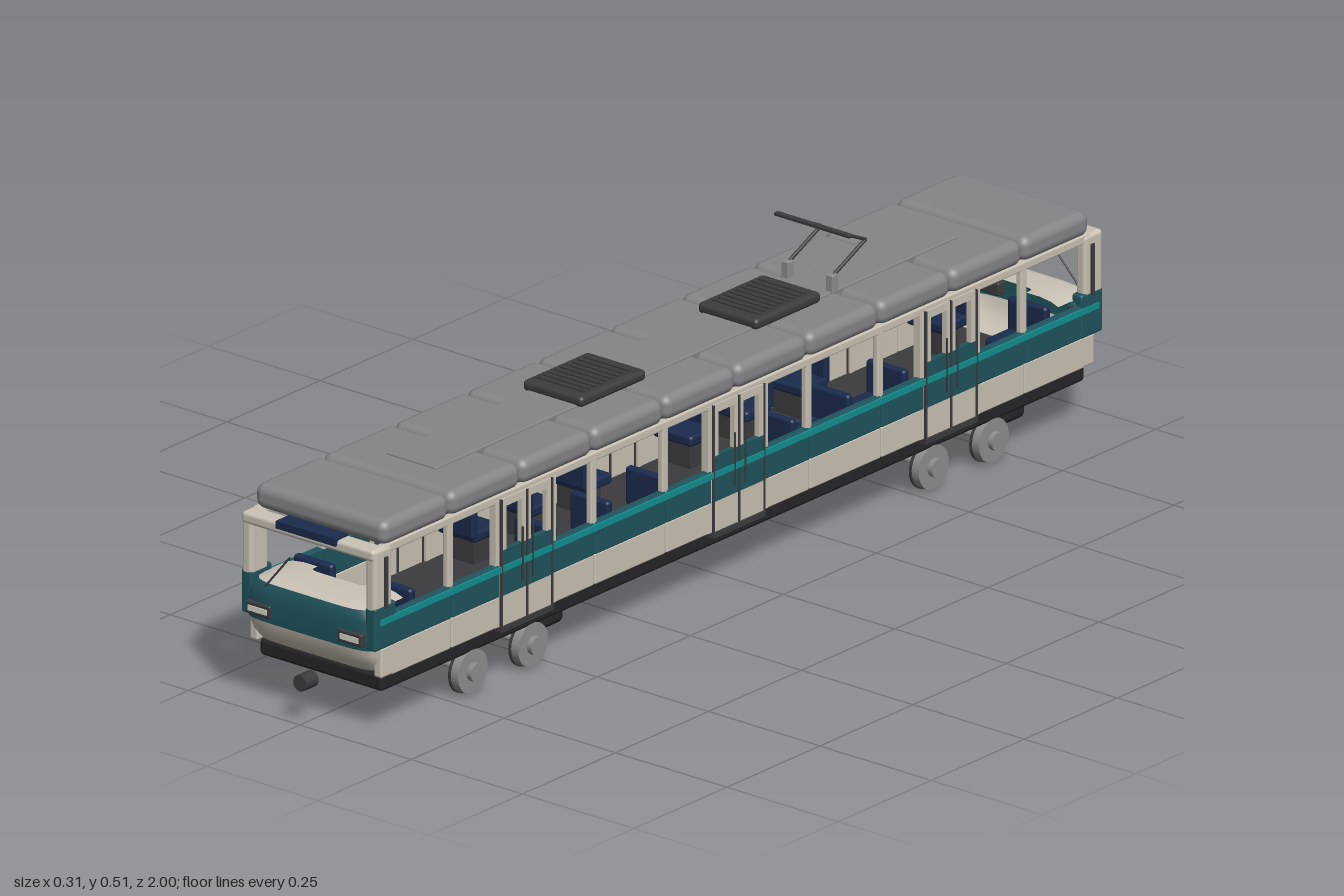
import * as THREE from 'three';
import { RoundedBoxGeometry } from 'three/addons/geometries/RoundedBoxGeometry.js';

const material = (name, color, side = THREE.FrontSide) => {
  const m = new THREE.MeshStandardMaterial({ color, side });
  m.name = name;
  return m;
};

export function createModel() {
  const root = new THREE.Group();
  root.name = 'tram';
  const cream = material('cream paint', 0xc9c2b4, THREE.DoubleSide);
  const teal = material('dark teal paint', 0x1f535d, THREE.DoubleSide);
  const bright = material('bright teal trim', 0x128f8f);
  const grey = material('roof grey', 0x858588);
  const dark = material('dark grey', 0x3c3c3e);
  const black = material('underframe black', 0x262628);
  const navy = material('navy', 0x1b2b4d);
  const metal = material('metal', 0x8e8e8e);
  const lamp = material('lamp', 0xd8d4ca);

  const add = (parent, name, geo, mat, x = 0, y = 0, z = 0) => {
    const mesh = new THREE.Mesh(geo, mat);
    mesh.name = name;
    mesh.position.set(x, y, z);
    parent.add(mesh);
    return mesh;
  };
  // Box given by its limits, with an optional rounding radius
  const box = (parent, name, mat, x0, x1, y0, y1, z0, z1, r = 0) => {
    const s = [x1 - x0, y1 - y0, z1 - z0];
    const geo = r ? new RoundedBoxGeometry(...s, 3, r) : new THREE.BoxGeometry(...s);
    return add(parent, name, geo, mat, (x0 + x1) / 2, (y0 + y1) / 2, (z0 + z1) / 2);
  };
  const rod = (parent, name, mat, a, b, r, sides = 10) => {
    const p = new THREE.Vector3(...a), q = new THREE.Vector3(...b);
    const mesh = add(parent, name, new THREE.CylinderGeometry(r, r, p.distanceTo(q), sides), mat);
    mesh.position.copy(p).add(q).multiplyScalar(0.5);
    mesh.quaternion.setFromUnitVectors(new THREE.Vector3(0, 1, 0), q.sub(p).normalize());
    return mesh;
  };
  // Rounded nose skin lofted through rows of [height, half width, front z]
  const noseSkin = (rows, back = 0.91, cols = 32, e = 0.32) => {
    const pos = [], idx = [];
    rows.forEach(([y, w, front], i) => {
      for (let j = 0; j <= cols; j++) {
        const t = (j / cols) * Math.PI, c = Math.cos(t);
        pos.push(w * Math.sign(c) * Math.abs(c) ** e, y, back + (front - back) * Math.abs(Math.sin(t)) ** e);
        if (i && j) {
          const d = i * (cols + 1) + j, b = d - cols - 1;
          idx.push(b - 1, d - 1, b, b, d - 1, d);
        }
      }
    });
    const geo = new THREE.BufferGeometry();
    geo.setAttribute('position', new THREE.Float32BufferAttribute(pos, 3));
    geo.setIndex(idx);
    geo.computeVertexNormals();
    return geo;
  };

  // Underframe and floor
  box(root, 'underframe', black, -0.138, 0.138, 0.078, 0.11, -0.945, 0.945, 0.008);
  box(root, 'floor', dark, -0.138, 0.138, 0.108, 0.116, -0.93, 0.93);

  // Roof: pillow-like panels, centre duct and cooling units
  const joints = [-0.95, -0.77, -0.578, -0.385, -0.193, 0, 0.193, 0.385, 0.578, 0.77, 0.95];
  for (let i = 0; i < 10; i++)
    box(root, 'roofPanel', grey, -0.148, 0.148, 0.349, 0.396, joints[i] + 0.001, joints[i + 1] - 0.001, 0.018);
  box(root, 'roofDuct', grey, -0.055, 0.055, 0.37, 0.4, -0.7, 0.7, 0.003);
  for (const s of [-1, 1]) {
    const unit = new THREE.Group();
    unit.name = 'coolingUnit';
    unit.position.z = s * 0.235;
    root.add(unit);
    box(unit, 'coolingCase', dark, -0.067, 0.067, 0.396, 0.416, -0.088, 0.088, 0.008);
    for (let k = 0; k < 9; k++)
      box(unit, 'coolingSlat', dark, -0.052, 0.052, 0.414, 0.419, -0.066 + k * 0.0155, -0.058 + k * 0.0155);
  }

  // Pantograph
  const pantograph = new THREE.Group();
  pantograph.name = 'pantograph';
  root.add(pantograph);
  for (const s of [-1, 1]) {
    const x = s * 0.05;
    box(pantograph, 'insulator', metal, x - 0.008, x + 0.008, 0.396, 0.43, -0.378, -0.362, 0.002);
    rod(pantograph, 'lowerArm', dark, [x, 0.425, -0.37], [x, 0.467, -0.46], 0.0035);
    rod(pantograph, 'upperArm', dark, [x, 0.467, -0.46], [x, 0.505, -0.38], 0.003);
  }
  box(pantograph, 'contactBar', dark, -0.085, 0.085, 0.502, 0.509, -0.385, -0.375, 0.002);

  // Side walls, pillars, doors and seats, mirrored left and right
  const doors = [-0.57, 0, 0.57];
  const bays = [[-0.93, -0.77], [-0.77, -0.64], [-0.5, -0.385], [-0.385, -0.193], [-0.193, -0.07],
    [0.07, 0.193], [0.193, 0.385], [0.385, 0.5], [0.64, 0.77], [0.77, 0.93]];
  for (const s of [-1, 1]) {
    const wall = new THREE.Group();
    wall.name = s > 0 ? 'leftSide' : 'rightSide';
    root.add(wall);
    const panel = (name, mat, a, b, y0, y1, z0, z1, r) =>
      box(wall, name, mat, Math.min(s * a, s * b), Math.max(s * a, s * b), y0, y1, z0, z1, r);

    for (const [a, b] of bays) {
      panel('lowerPanel', cream, 0.135, 0.148, 0.109, 0.166, a + 0.001, b - 0.001, 0.003);
      panel('waistPanel', teal, 0.135, 0.149, 0.165, 0.225, a + 0.001, b - 0.001, 0.003);
      panel('waistTrim', bright, 0.14, 0.153, 0.211, 0.222, a, b);
    }
    panel('cantrail', cream, 0.132, 0.147, 0.338, 0.354, -0.95, 0.95, 0.003);
    for (const z of [-0.77, -0.385, -0.193, 0.193, 0.385, 0.77])
      panel('windowPillar', cream, 0.135, 0.147, 0.22, 0.345, z - 0.008, z + 0.008, 0.003);

    for (const z of doors) {
      panel('doorStep', dark, 0.13, 0.152, 0.099, 0.109, z - 0.07, z + 0.07);
      for (const e of [-1, 1]) {
        const lo = Math.min(z, z + e * 0.066), hi = lo + 0.066;
        panel('doorLowerPanel', cream, 0.14, 0.15, 0.11, 0.166, lo, hi);
        panel('doorWaistPanel', teal, 0.14, 0.1505, 0.166, 0.25, lo, hi);
        panel('doorTrim', bright, 0.145, 0.153, 0.211, 0.222, lo, hi);
        panel('doorTopRail', cream, 0.14, 0.15, 0.33, 0.345, lo, hi);
        for (const p of [lo, hi - 0.012])
          panel('doorStile', cream, 0.14, 0.15, 0.25, 0.332, p, p + 0.012);
        panel('doorSeal', dark, 0.138, 0.152, 0.11, 0.345, z + e * 0.068 - 0.002, z + e * 0.068 + 0.002);
        panel('doorPost', cream, 0.134, 0.148, 0.11, 0.345, z + e * 0.075 - 0.006, z + e * 0.075 + 0.006);
        rod(wall, 'doorHandle', dark, [s * 0.153, 0.18, z + e * 0.014], [s * 0.153, 0.28, z + e * 0.014], 0.0018, 6);
      }
      panel('doorCentreSeal', dark, 0.138, 0.152, 0.11, 0.345, z - 0.002, z + 0.002);
    }

    for (const z of [-0.82, -0.44, -0.29, -0.14, 0.14, 0.29, 0.44, 0.82]) {
      const e = Math.sign(z);
      panel('seatBase', dark, 0.06, 0.125, 0.115, 0.165, z - 0.02, z + 0.02);
      panel('seatCushion', navy, 0.045, 0.132, 0.163, 0.183, z - 0.035, z + 0.035, 0.006);
      const back = z + e * 0.033;
      panel('seatBack', navy, 0.045, 0.132, 0.17, 0.241, back - 0.008, back + 0.008, 0.006);
    }
  }

  // Two identical cab ends
  for (const turn of [0, Math.PI]) {
    const cab = new THREE.Group();
    cab.name = turn ? 'rearCab' : 'frontCab';
    cab.rotation.y = turn;
    root.add(cab);
    add(cab, 'bumperSkin', noseSkin([[0.111, 0.1, 0.915], [0.112, 0.118, 0.945], [0.118, 0.131, 0.96],
      [0.135, 0.14, 0.974], [0.15, 0.143, 0.981], [0.163, 0.145, 0.984]]), cream);
    add(cab, 'noseSkin', noseSkin([[0.163, 0.146, 0.985], [0.19, 0.147, 0.987],
      [0.215, 0.146, 0.985], [0.226, 0.142, 0.982], [0.233, 0.132, 0.978]]), teal);
    add(cab, 'dashboard', noseSkin([[0.233, 0.132, 0.978], [0.239, 0.115, 0.97],
      [0.242, 0.09, 0.955], [0.242, 0.06, 0.9]], 0.88), cream);
    for (const s of [-1, 1]) {
      const x = (a) => s * a;
      const slab = (name, mat, a, b, ...rest) =>
        box(cab, name, mat, Math.min(x(a), x(b)), Math.max(x(a), x(b)), ...rest);
      slab('cabLowerSide', cream, 0.13, 0.148, 0.11, 0.166, 0.92, 0.958, 0.004);
      slab('cabWaistSide', teal, 0.128, 0.151, 0.165, 0.246, 0.92, 0.978, 0.005);
      slab('cornerPillar', cream, 0.128, 0.15, 0.235, 0.352, 0.93, 0.978, 0.007);
      slab('cabTrim', bright, 0.14, 0.153, 0.211, 0.222, 0.92, 0.965);
      slab('mirrorStrip', dark, 0.149, 0.153, 0.24, 0.335, 0.945, 0.953);
      slab('headlightFrame', dark, 0.076, 0.13, 0.172, 0.196, 0.968, 0.99, 0.003);
      slab('headlight', lamp, 0.082, 0.124, 0.179, 0.189, 0.986, 0.992);
    }
    box(cab, 'windscreenHeader', cream, -0.149, 0.149, 0.331, 0.353, 0.945, 0.98, 0.007);
    box(cab, 'destinationSign', navy, -0.067, 0.067, 0.343, 0.357, 0.95, 0.985);
    rod(cab, 'wiper', dark, [-0.09, 0.23, 0.985], [-0.043, 0.292, 0.975], 0.0018, 6);
    rod(cab, 'coupler', dark, [0, 0.077, 0.967], [0, 0.077, 1], 0.015, 20);
  }

  // Wheelsets and equipment boxes under the floor
  for (const z of [-0.7, -0.538, 0.538, 0.7]) {
    const set = new THREE.Group();
    set.name = 'wheelset';
    set.position.set(0, 0.043, z);
    root.add(set);
    rod(set, 'axle', metal, [-0.13, 0, 0], [0.13, 0, 0], 0.006);
    for (const s of [-1, 1]) {
      rod(set, 'wheelFlange', dark, [s * 0.118, 0, 0], [s * 0.122, 0, 0], 0.043, 28);
      rod(set, 'wheel', metal, [s * 0.122, 0, 0], [s * 0.138, 0, 0], 0.04, 28);
      rod(set, 'hub', metal, [s * 0.138, 0, 0], [s * 0.148, 0, 0], 0.017, 16);
    }
  }
  for (const z of [-0.785, 0.455])
    box(root, 'equipmentBox', black, -0.117, 0.117, 0.045, 0.084, z - 0.03, z + 0.03, 0.014);

  return root;
}
